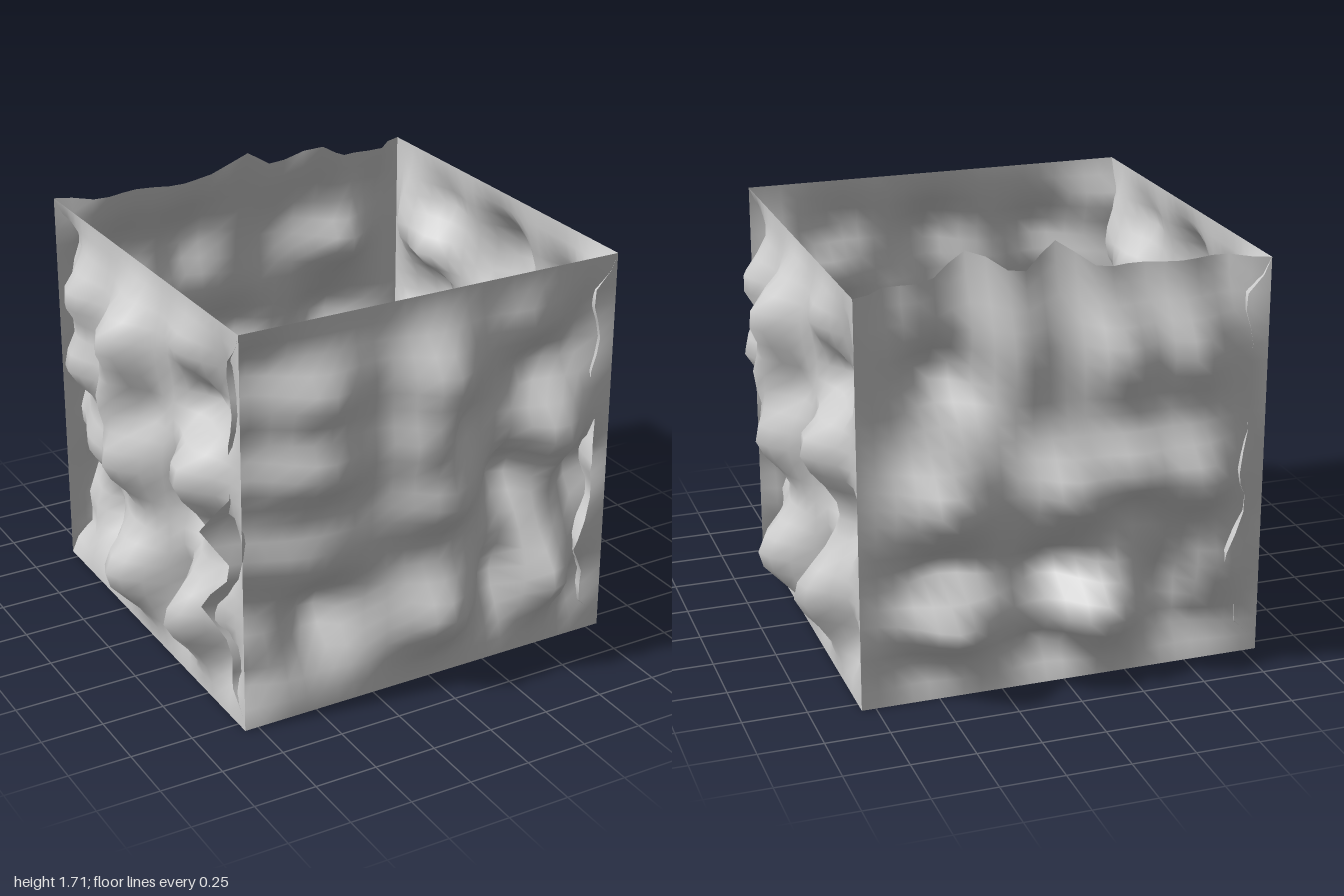
import * as THREE from 'three';

const HALF = 0.805;
const SEGMENTS = 24;

// Bumps and dents of one wall: [across, height, depth, radius across, radius up]
const BUMPS = [
  // middle column
  [0, 1.31, 0.195, 0.16, 0.16], [-0.05, 1.06, 0.15, 0.14, 0.13], [0.09, 1.06, -0.06, 0.09, 0.08],
  [0, 0.81, 0.185, 0.16, 0.16], [0, 0.33, 0.2, 0.16, 0.17],
  // column beside the loose edge
  [-0.47, 1.31, 0.12, 0.17, 0.12], [-0.48, 1.02, 0.12, 0.17, 0.13],
  [-0.5, 0.8, -0.03, 0.16, 0.12], [-0.48, 0.64, 0.04, 0.16, 0.12], [-0.44, 0.34, -0.22, 0.15, 0.16],
  // column beside the pinned edge
  [0.4, 1.42, 0.06, 0.13, 0.1], [0.48, 1.2, -0.12, 0.13, 0.1], [0.51, 0.95, 0.15, 0.15, 0.16],
  [0.36, 0.77, -0.18, 0.1, 0.15], [0.32, 0.34, -0.16, 0.09, 0.16], [0.48, 0.35, 0.18, 0.13, 0.16],
  // dents along the pinned edge
  [0.69, 0.72, -0.13, 0.1, 0.13], [0.69, 1.3, -0.08, 0.1, 0.17], [0.69, 0.23, -0.08, 0.1, 0.12],
  // dents along the loose edge
  [-0.8, 1.45, -0.1, 0.2, 0.18], [-0.8, 1.1, -0.1, 0.17, 0.15], [-0.8, 0.8, -0.14, 0.17, 0.13],
  [-0.8, 0.45, -0.18, 0.18, 0.16], [-0.8, 0.14, -0.1, 0.16, 0.14],
];

// Sideways pull of the loose edge
const PULLS = [[-0.8, 0.805, -0.1, 0.15, 0.09], [-0.8, 0.485, -0.085, 0.15, 0.1]];

const field = (list, u, v) => list.reduce((sum, [cu, cv, amount, ru, rv]) =>
  sum + amount * Math.exp(-(((u - cu) / ru) ** 2) - ((v - cv) / rv) ** 2), 0);

const ease = (distance) => THREE.MathUtils.smoothstep(distance, 0, 0.16);

// Crumpled sheet facing +z: three edges pinned, the -x edge loose
function wallGeometry() {
  const geometry = new THREE.PlaneGeometry(2 * HALF, 2 * HALF, SEGMENTS, SEGMENTS);
  const p = geometry.attributes.position;
  for (let i = 0; i < p.count; i++) {
    const u = p.getX(i), v = p.getY(i) + HALF;
    const pinned = ease(v) * ease(2 * HALF - v) * ease(HALF - u);
    const depth = THREE.MathUtils.clamp(field(BUMPS, u, v), -0.23, 0.195);
    p.setX(i, u + pinned * field(PULLS, u, v));
    p.setZ(i, HALF + pinned * depth);
  }
  geometry.computeVertexNormals();
  return geometry;
}

export function createModel() {
  const model = new THREE.Group();
  model.name = 'crumpledOpenBox';
  const material = new THREE.MeshStandardMaterial({ color: 0xcccccc, side: THREE.DoubleSide });
  const geometry = wallGeometry();

  // Three walls turned about the upright axis
  [['frontWall', 0], ['leftWall', Math.PI / 2], ['rightWall', -Math.PI / 2]].forEach(([name, turn]) => {
    const wall = new THREE.Mesh(geometry, material);
    wall.name = name;
    wall.position.y = HALF;
    wall.rotation.y = turn;
    model.add(wall);
  });

  // Back wall: same sheet on its side, loose edge at the top
  const back = new THREE.Mesh(geometry, material);
  back.name = 'backWall';
  back.position.y = HALF;
  back.quaternion.setFromRotationMatrix(new THREE.Matrix4().makeBasis(
    new THREE.Vector3(0, -1, 0), new THREE.Vector3(-1, 0, 0), new THREE.Vector3(0, 0, -1)));
  model.add(back);

  // Flat floor, open top
  const floor = new THREE.Mesh(new THREE.PlaneGeometry(2 * HALF, 2 * HALF), material);
  floor.name = 'floor';
  floor.rotation.x = -Math.PI / 2;
  model.add(floor);

  return model;
}
